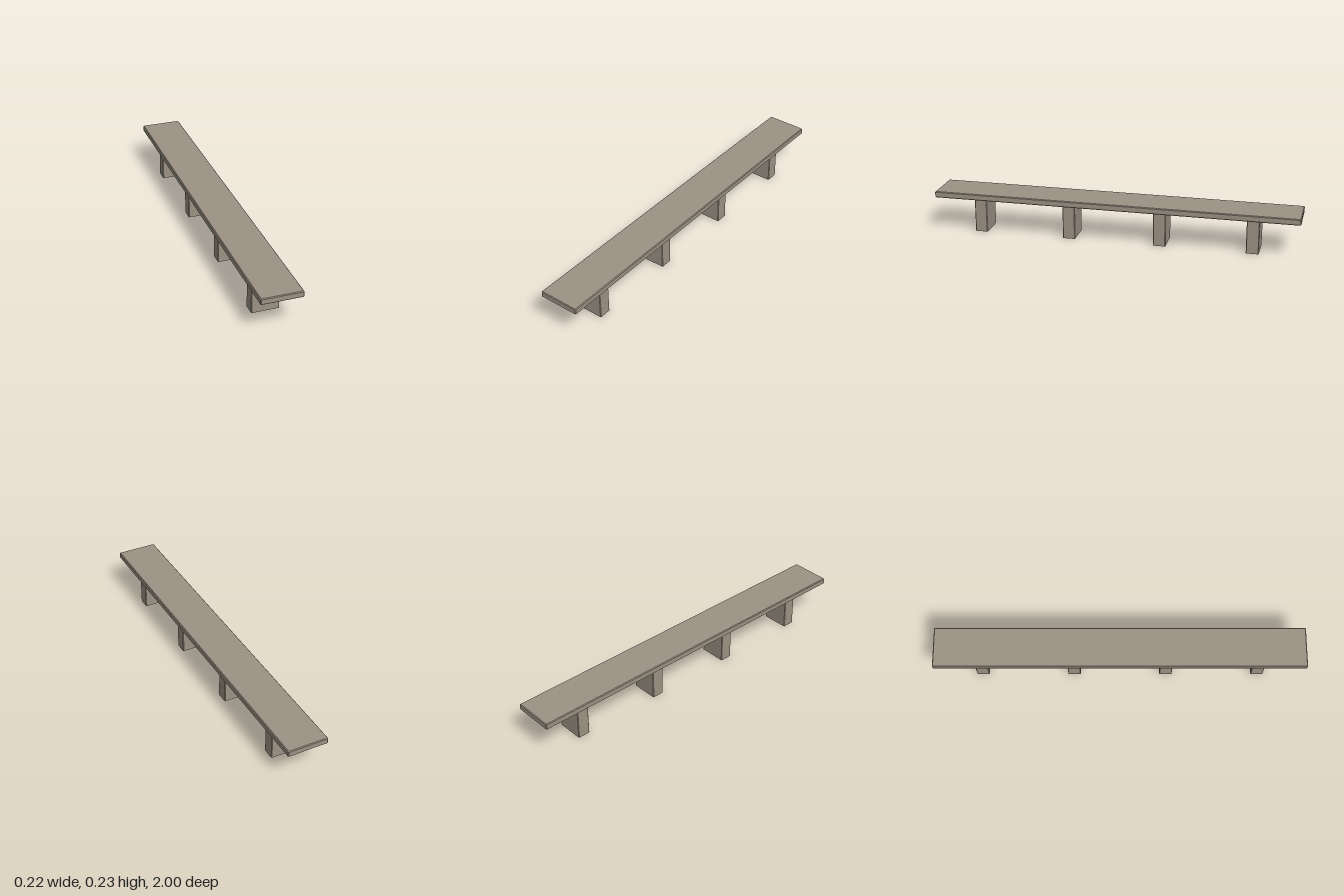
import * as THREE from 'three';

// One horizontal cross-section: a rectangle with cut corners, anticlockwise from above
function ring(halfW, halfD, cut, y) {
  const w = halfW, d = halfD, c = cut;
  return [
    [w, d - c], [w, c - d], [w - c, -d], [c - w, -d],
    [-w, c - d], [-w, d - c], [c - w, d], [w - c, d],
  ].map(([x, z]) => [x, y, z]);
}

// Block with small chamfers; an open block has straight sides and no bottom
function chamferedBlock(width, height, depth, c, openBottom) {
  const w = width / 2, d = depth / 2;
  const rings = [];
  if (openBottom) rings.push(ring(w, d, c, 0));
  else rings.push(ring(w - c, d - c, c / 2, 0), ring(w, d, c, c));
  rings.push(ring(w, d, c, height - c), ring(w - c, d - c, c / 2, height));

  const positions = [];
  const tri = (...corners) => corners.forEach((p) => positions.push(...p));
  for (let r = 0; r < rings.length - 1; r++) {
    const low = rings[r], high = rings[r + 1];
    for (let i = 0; i < 8; i++) {
      const j = (i + 1) % 8;
      tri(low[i], low[j], high[j]);
      tri(low[i], high[j], high[i]);
    }
  }
  const top = rings[rings.length - 1], bottom = rings[0];
  for (let i = 1; i < 7; i++) {
    tri(top[0], top[i], top[i + 1]);
    if (!openBottom) tri(bottom[0], bottom[i + 1], bottom[i]);
  }
  const geometry = new THREE.BufferGeometry();
  geometry.setAttribute('position', new THREE.Float32BufferAttribute(positions, 3));
  geometry.computeVertexNormals();
  return geometry;
}

export function createModel() {
  const bench = new THREE.Group();
  bench.name = 'bench';

  const stone = new THREE.MeshStandardMaterial({
    color: 0x9c9284, flatShading: true, side: THREE.DoubleSide,
  });
  stone.name = 'stone';

  // Long seat slab
  const seat = new THREE.Mesh(chamferedBlock(0.222, 0.034, 2, 0.004, false), stone);
  seat.name = 'seat';
  seat.position.y = 0.191;
  bench.add(seat);

  // Four hollow legs, open underneath
  const legGeometry = chamferedBlock(0.148, 0.19, 0.068, 0.003, true);
  [0.75, 0.25, -0.25, -0.75].forEach((z, i) => {
    const leg = new THREE.Mesh(legGeometry, stone);
    leg.name = `leg${i + 1}`;
    leg.position.z = z;
    bench.add(leg);
  });

  return bench;
}
